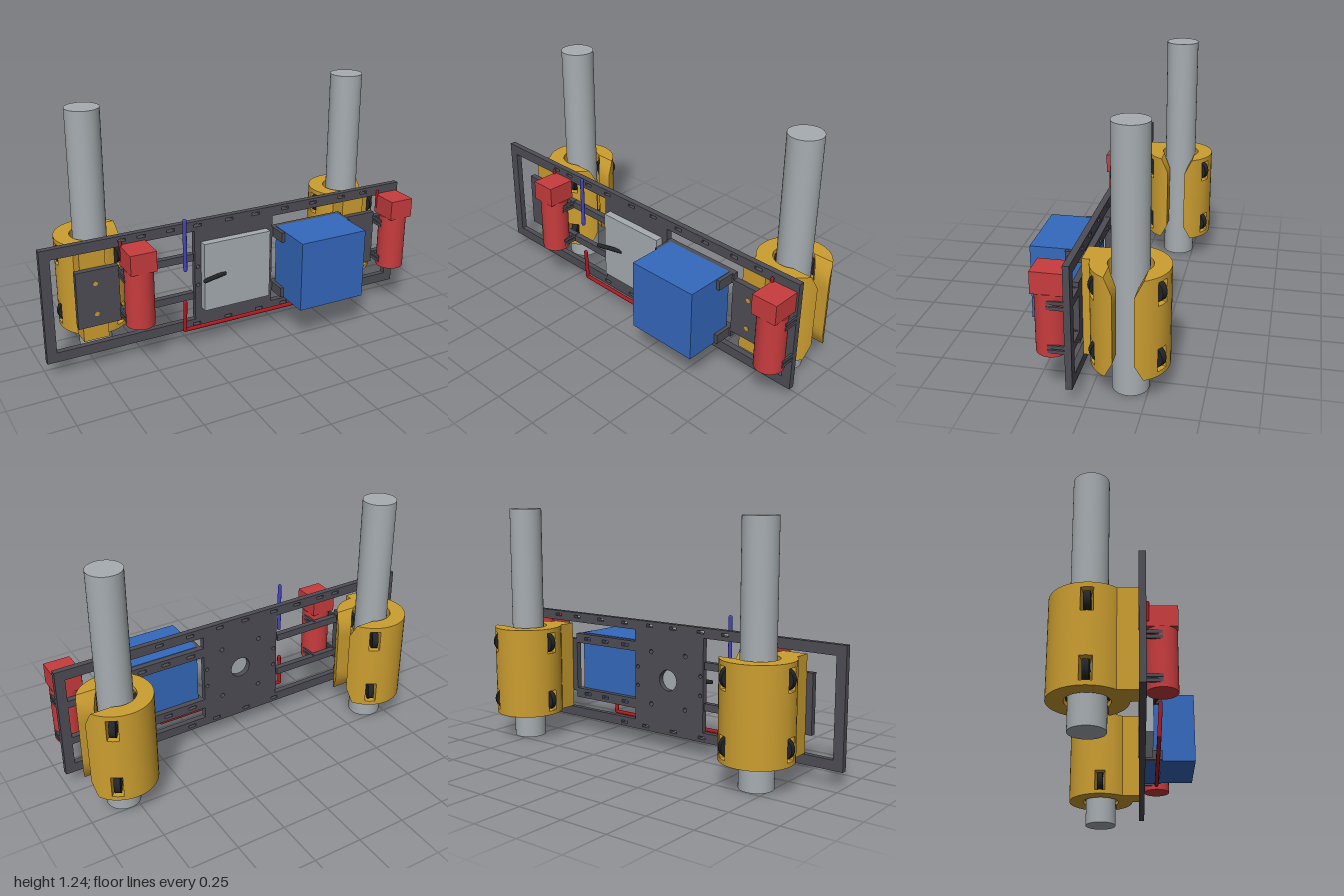
import * as THREE from 'three';
import { toCreasedNormals } from 'three/addons/utils/BufferGeometryUtils.js';

const mat = (name, color) => Object.assign(new THREE.MeshStandardMaterial({ color }), { name });
const M = {
  frame: mat('dark grey frame', 0x4e4d55),
  pipe: mat('light grey', 0xa6adb1),
  gold: mat('gold clamp', 0xcc9e30),
  red: mat('motor red', 0xc83c3e),
  blue: mat('box blue', 0x3469bd),
  black: mat('wheel black', 0x222427),
  redWire: mat('wire red', 0xb0181e),
  blueWire: mat('wire blue', 0x4444c0),
};

function add(parent, name, geo, material, x = 0, y = 0, z = 0) {
  const m = new THREE.Mesh(geo, material);
  m.name = name;
  m.position.set(x, y, z);
  parent.add(m);
  return m;
}

// Box given by its limits
const block = (p, name, material, x0, x1, y0, y1, z0, z1) =>
  add(p, name, new THREE.BoxGeometry(x1 - x0, y1 - y0, z1 - z0), material,
    (x0 + x1) / 2, (y0 + y1) / 2, (z0 + z1) / 2);

// Round rod between corner points, straight runs
function wire(p, name, material, pts, r) {
  const path = new THREE.CurvePath();
  const v = pts.map(a => new THREE.Vector3(...a));
  for (let i = 1; i < v.length; i++) {
    path.add(new THREE.LineCurve3(v[i - 1], v[i]));
    add(p, name + 'End', new THREE.SphereGeometry(r, 10, 8), material, ...pts[i]);
    add(p, name, new THREE.TubeGeometry(new THREE.LineCurve3(v[i - 1], v[i]), 1, r, 10), material);
  }
  add(p, name + 'End', new THREE.SphereGeometry(r, 10, 8), material, ...pts[0]);
}

const Z0 = 0.05, Z1 = 0.08;   // frame plate thickness
const FRAME_D = Z1 - Z0;

function rect(target, x0, x1, y0, y1) {
  target.moveTo(x0, y0); target.lineTo(x1, y0); target.lineTo(x1, y1);
  target.lineTo(x0, y1); target.closePath();
  return target;
}

// Flat plate with rectangular and round holes
function plate(p, name, limits, rects, circles = []) {
  const s = rect(new THREE.Shape(), ...limits);
  rects.forEach(r => s.holes.push(rect(new THREE.Path(), ...r)));
  circles.forEach(([x, y, r]) => s.holes.push(new THREE.Path().absarc(x, y, r, 0, Math.PI * 2, true)));
  const g = new THREE.ExtrudeGeometry(s, { depth: FRAME_D, bevelEnabled: false, curveSegments: 12 });
  add(p, name, g, M.frame, 0, 0, Z0);
}

const R_OUT = 0.178, R_IN = 0.1, DEG = Math.PI / 180;

// Open ring with a gap towards +x that flares at both ends, and six wheel windows
function clampGeometry() {
  const ys = [0.135, 0.157, 0.21, 0.267, 0.473, 0.532, 0.583, 0.607];
  const half = y => 0.047 + 0.038 * Math.max(0, 0.21 - y, y - 0.532) / 0.075;
  const th = [0];
  [[51, 6], [69, 2], [171, 12], [189, 2], [291, 12], [309, 2], [360, 6]].forEach(([end, n]) => {
    const start = th[th.length - 1];
    for (let k = 1; k <= n; k++) th.push(start + (end - start) * k / n);
  });
  const solid = (i, j) => {
    if (i < 0 || j < 0 || i >= th.length - 1 || j >= ys.length - 1) return false;
    const t = (th[i] + th[i + 1]) / 2, y = (ys[j] + ys[j + 1]) / 2;
    const inCol = [60, 180, 300].some(a => Math.abs(t - a) < 9);
    return !(inCol && [0.212, 0.528].some(c => Math.abs(y - c) < 0.055));
  };
  const pos = [];
  const c = (r, i, j) => {
    const a = Math.asin(half(ys[j]) / r);
    const t = Math.min(Math.max(th[i] * DEG, a), Math.PI * 2 - a);
    return [r * Math.cos(t), ys[j], r * Math.sin(t)];
  };
  const quad = (a, b, d, e) => pos.push(...a, ...b, ...d, ...a, ...d, ...e);
  const O = R_OUT, I = R_IN;
  for (let i = 0; i < th.length - 1; i++) for (let j = 0; j < ys.length - 1; j++) {
    if (!solid(i, j)) continue;
    const k = i + 1, l = j + 1;
    quad(c(O, k, j), c(O, i, j), c(O, i, l), c(O, k, l));
    quad(c(I, i, j), c(I, k, j), c(I, k, l), c(I, i, l));
    if (!solid(i, l)) quad(c(I, i, l), c(I, k, l), c(O, k, l), c(O, i, l));
    if (!solid(i, j - 1)) quad(c(O, i, j), c(O, k, j), c(I, k, j), c(I, i, j));
    if (!solid(i - 1, j)) quad(c(I, i, j), c(I, i, l), c(O, i, l), c(O, i, j));
    if (!solid(k, j)) quad(c(O, k, j), c(O, k, l), c(I, k, l), c(I, k, j));
  }
  const g = new THREE.BufferGeometry();
  g.setAttribute('position', new THREE.Float32BufferAttribute(pos, 3));
  g.computeVertexNormals();
  return toCreasedNormals(g, 0.5);
}

// Pipe, clamp with wheels, mounting plate and motor; built around the pipe's x
function station(clampGeo) {
  const g = new THREE.Group();
  const pz = -0.165;
  add(g, 'pipe', new THREE.CylinderGeometry(0.084, 0.084, 1.24, 48), M.pipe, 0, 0.62, pz);
  add(g, 'clamp', clampGeo, M.gold, 0, 0, pz);
  block(g, 'clampFoot', M.gold, -0.128, 0, 0.135, 0.607, -0.045, 0.05);
  for (const a of [60, 180, 300]) for (const y of [0.212, 0.528]) {
    const w = new THREE.CylinderGeometry(0.053, 0.053, 0.03, 24).rotateX(Math.PI / 2).rotateY(-a * DEG);
    add(g, 'wheel', w, M.black, 0.136 * Math.cos(a * DEG), y, pz + 0.136 * Math.sin(a * DEG));
  }
  block(g, 'mountPlate', M.frame, -0.16, 0.056, 0.225, 0.52, Z0, Z1);
  for (const y of [0.29, 0.45]) {
    add(g, 'mountScrew', new THREE.CylinderGeometry(0.012, 0.012, 0.004, 16).rotateX(Math.PI / 2),
      M.gold, -0.065, y, Z1 + 0.001);
  }
  // Motor with gearbox, clips and a short lead
  const mx = 0.127, mz = 0.153;
  add(g, 'motor', new THREE.CylinderGeometry(0.072, 0.072, 0.295, 40), M.red, mx, 0.375, mz);
  block(g, 'gearbox', M.red, mx - 0.066, mx + 0.066, 0.52, 0.623, Z1, 0.226);
  for (const y of [0.258, 0.28, 0.465, 0.49]) for (const s of [-1, 1]) {
    const x = mx + s * 0.07;
    block(g, 'motorClip', M.frame, x - 0.005, x + 0.005, y - 0.008, y + 0.008, Z1 - 0.02, 0.155);
  }
  wire(g, 'motorLead', M.redWire, [[0.065, 0.55, 0.09], [0.065, 0.64, 0.09]], 0.008);
  return g;
}

export function createModel() {
  const model = new THREE.Group();
  model.name = 'pipeClimber';

  // Main frame: two windows, bar slots, centre hole and screw holes
  const slots = [-0.6, -0.5, -0.35, -0.205, -0.03, 0.12, 0.29, 0.46, 0.635, 0.775]
    .map(x => [x - 0.021, x + 0.021, 0.637, 0.652])
    .concat([-0.215, -0.035, 0.148, 0.295].map(x => [x - 0.021, x + 0.021, 0.095, 0.11]));
  const screws = [-0.205, 0.2].flatMap(x => [0.32, 0.42].map(y => [x, y, 0.01]));
  const inner = [-0.11, 0.11].flatMap(x => [0.23, 0.51].map(y => [x, y, 0.012]));
  plate(model, 'frame', [-1, 1, 0.08, 0.667],
    [[-0.95, -0.222, 0.13, 0.615], [0.217, 0.95, 0.13, 0.615], ...slots],
    [[0, 0.37, 0.055], ...screws, ...inner]);

  // Rails inside the windows
  for (const y of [0.246, 0.457]) {
    block(model, 'rightRail', M.frame, -0.23, -0.63, y, y + 0.038, Z0, Z1).geometry =
      new THREE.BoxGeometry(0.4, 0.038, FRAME_D);
    block(model, 'leftEndRail', M.frame, 0.85, 0.955, y, y + 0.038, Z0, Z1);
  }
  for (const y of [0.19, 0.5]) {
    plate(model, 'boxRail', [0.217, 0.64, y, y + 0.052],
      [0.29, 0.43, 0.56].map(x => [x - 0.022, x + 0.022, y + 0.018, y + 0.034]));
    for (const x of [0.222, 0.613]) block(model, 'boxClip', M.frame, x, x + 0.018, y, y + 0.052, Z1 - 0.01, 0.17);
  }

  // Electronics
  block(model, 'controlBoard', M.pipe, -0.188, 0.183, 0.187, 0.553, Z1, 0.12);
  block(model, 'batteryBox', M.blue, 0.24, 0.613, 0.188, 0.555, Z1, 0.34);
  wire(model, 'lever', M.black, [[-0.2, 0.372, 0.153], [-0.075, 0.372, 0.115]], 0.011);
  wire(model, 'blueWire', M.blueWire, [[-0.31, 0.46, 0.158], [-0.31, 0.717, 0.158]], 0.01);
  wire(model, 'redWire', M.redWire,
    [[-0.31, 0.28, 0.15], [-0.31, 0.12, 0.142], [0.43, 0.12, 0.142], [0.43, 0.195, 0.155]], 0.01);

  // Two identical stations, one per pipe
  const clampGeo = clampGeometry();
  [['rightStation', -0.676], ['leftStation', 0.797]].forEach(([name, x]) => {
    const s = station(clampGeo);
    s.name = name;
    s.position.x = x;
    model.add(s);
  });
  return model;
}
